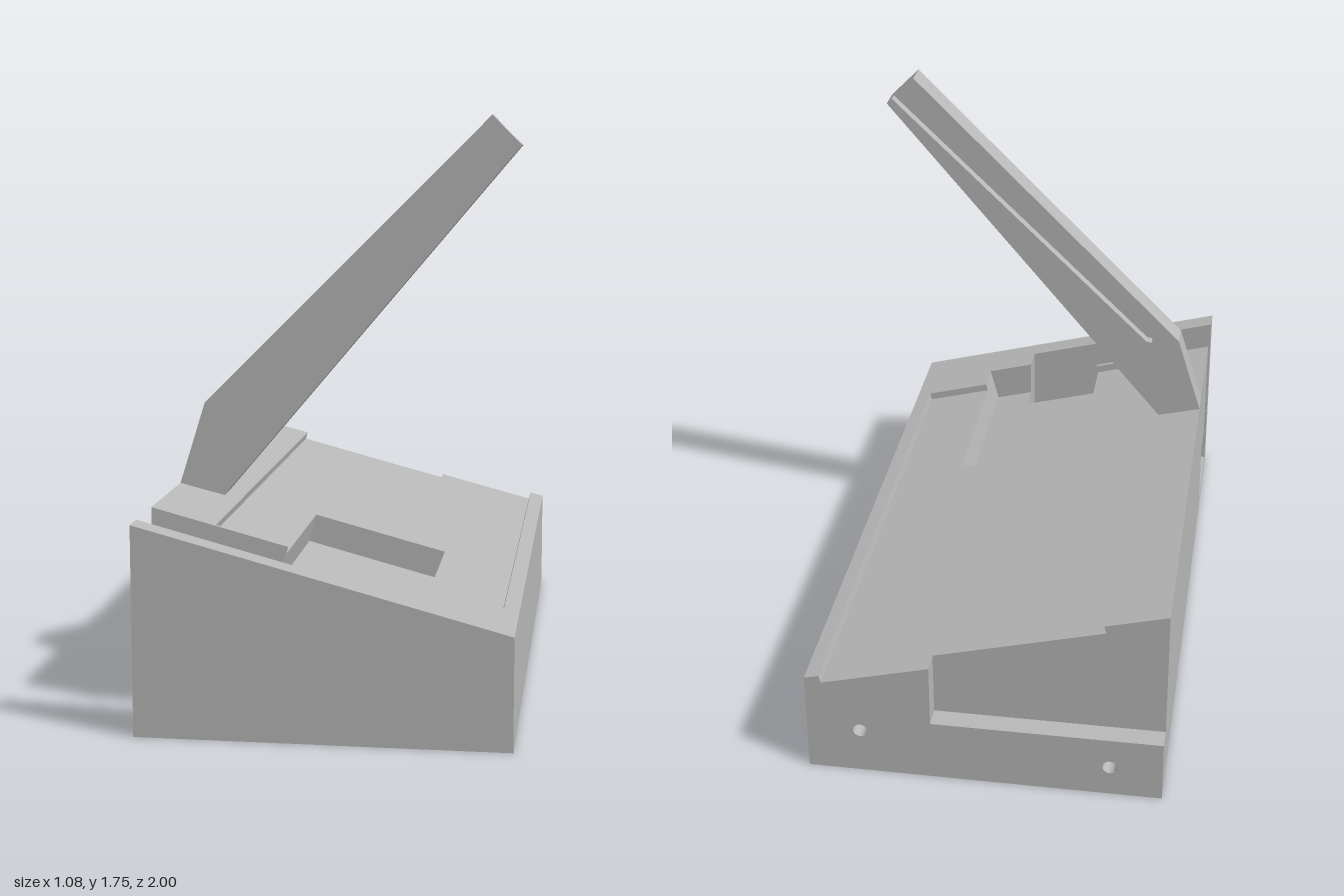
import * as THREE from 'three';

const grey = new THREE.MeshStandardMaterial({ color: 0xb8b8b8 });
grey.name = 'plain grey';

// Sloping deck: point at x, sunk by depth d square to the slope
const deck = (x) => 0.4725 - 0.264 * x;
const p = (x, d) => [x - d * 0.255, deck(x) - d * 0.967];

function slice(name, points, z0, z1, holes = []) {
  const shape = new THREE.Shape(points.map(([x, y]) => new THREE.Vector2(x, y)));
  for (const [x, y, r] of holes) {
    shape.holes.push(new THREE.Path().absarc(x, y, r, 0, Math.PI * 2, true));
  }
  const geo = new THREE.ExtrudeGeometry(shape, { depth: z1 - z0, bevelEnabled: false, curveSegments: 16 });
  geo.translate(0, 0, z0);
  const mesh = new THREE.Mesh(geo, grey);
  mesh.name = name;
  return mesh;
}

export function createModel() {
  const model = new THREE.Group();
  model.name = 'wedgeWithArm';

  // Shared pieces of the cross-sections
  const base = [[-0.54, 0], [0.54, 0], [0.54, deck(0.54)]];
  const highEdge = [[-0.54, deck(-0.54)]];
  const panelRight = [p(0.495, 0), p(0.495, 0.025)];
  const panelLeft = [p(-0.35, 0.025), p(-0.35, 0)];
  const pocketFloor = [p(0.28, 0.115), p(-0.135, 0.115)];
  const pocket = [p(0.28, 0.025), ...pocketFloor, p(-0.135, 0.025)];
  const undercut = [[-0.54, 0.26], [0.125, 0.26], [0.125, 0.04], [-0.54, 0.04]];
  const channelFloor = [[0.125, 0.04], [-0.54, 0.04]];

  // Wedge body, sliced along z wherever the cross-section changes
  const body = new THREE.Group();
  body.name = 'body';
  body.add(
    slice('backLedge', [...base, ...panelRight, [0.16, deck(0.16) - 0.026], [0.16, 0.2], [-0.54, 0.2]],
      -1, -0.935, [[0.376, 0.15, 0.022], [-0.382, 0.1, 0.022]]),
    slice('recessedPanel', [...base, ...panelRight, ...panelLeft, ...highEdge], -0.935, 0.175),
    slice('pocketSection', [...base, ...panelRight, ...pocket, ...panelLeft, ...highEdge], 0.175, 0.61),
    slice('undercutSection', [...base, ...panelRight, ...pocket, ...panelLeft, ...highEdge, ...undercut], 0.61, 0.735),
    slice('panelEnd', [...base, p(0.28, 0), ...pocketFloor, p(-0.135, 0), ...highEdge, ...undercut], 0.735, 0.748),
    slice('pocketMouth', [...base, p(0.28, 0), p(0.28, 0.115), [0.125, deck(0.125) - 0.119], ...channelFloor],
      0.748, 0.84),
    slice('sideChannel', [...base, [0.125, deck(0.125)], ...channelFloor], 0.84, 0.925),
    slice('frontWall', [...base, ...highEdge], 0.925, 1)
  );
  model.add(body);

  // Raised arm: plain front layer and a grooved back layer, open at the tip
  const root = [[-0.40, 0.58]];
  const tipLow = [0.515, 1.665], tipHigh = [0.425, 1.755];
  const spine = [[-0.46, 0.87], [-0.54, 0.615]];
  const groove = [[0.498, 1.682], [-0.35, 0.862], [-0.368, 0.858], [-0.38, 0.869], [-0.378, 0.89], [0.441, 1.739]];
  const arm = new THREE.Group();
  arm.name = 'arm';
  arm.add(
    slice('armFront', [...root, tipLow, tipHigh, ...spine], 0.318, 0.37),
    slice('armGroovedBack', [...root, tipLow, ...groove, tipHigh, ...spine], 0.285, 0.318)
  );
  model.add(arm);
  return model;
}
